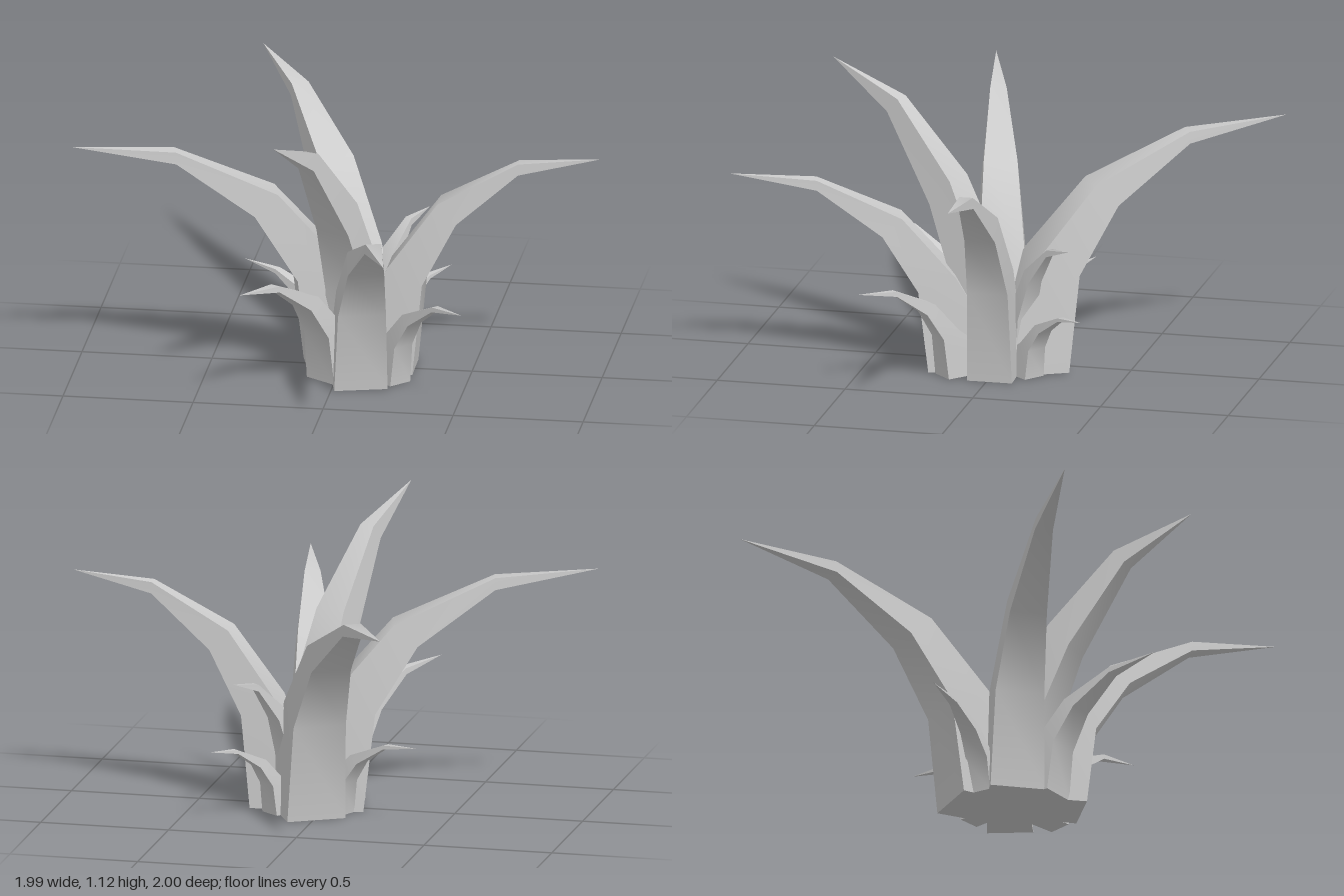
import * as THREE from 'three';

const CENTRE = new THREE.Vector3(0.06, 0, -0.01);
const material = new THREE.MeshStandardMaterial({ color: 0xcccccc });

// Leaf profiles: [reach, height] as fractions of the way from foot to tip
const ARCHED = {
  outer: [[0, 0], [0.05, 0.41], [0.23, 0.69], [0.56, 0.92], [1, 1]],
  inner: [[-0.14, 0.48], [0.13, 0.78], [0.56, 0.97]],
};
const UPRIGHT = {
  outer: [[0, 0], [0.06, 0.31], [0.24, 0.56], [0.58, 0.85], [1, 1]],
  inner: [[-0.15, 0.36], [0.1, 0.65], [0.51, 0.9]],
};
const TAPER = [1, 0.9, 0.68, 0.33, 0];
const INNER_WIDTH = 0.9;

// A curved, tapering leaf: broad outer and inner faces joined by flat sides
function leaf(name, [tx, ty, tz], [fx, fz], halfWidth, profile = ARCHED) {
  const foot = new THREE.Vector3(fx, 0, fz);
  const dir = new THREE.Vector3(tx, 0, tz).sub(foot);
  const reach = dir.length();
  dir.normalize();
  const side = new THREE.Vector3(dir.z, 0, -dir.x);
  const depth = foot.distanceTo(CENTRE) + 0.04;
  const point = (r, y, s) =>
    foot.clone().addScaledVector(dir, r).addScaledVector(side, s).setY(y);
  const place = ([f, h]) => [f * reach, h * ty];

  // Four corners for each cross-section
  const sections = profile.outer.map((o, i) => {
    const [ro, yo] = place(o);
    let [ri, yi] = [-depth, 0];
    if (i === 4) [ri, yi] = [ro, yo];
    else if (i > 0) [ri, yi] = place(profile.inner[i - 1]);
    const w = halfWidth * TAPER[i], v = w * INNER_WIDTH;
    return [point(ro, yo, -w), point(ro, yo, w), point(ri, yi, v), point(ri, yi, -v)];
  });

  // Each face is its own strip: smooth along the leaf, sharp at its edges
  const positions = [], index = [];
  for (let k = 0; k < 4; k++) {
    const start = positions.length / 3;
    sections.forEach((s, i) => {
      positions.push(...s[k].toArray(), ...s[(k + 1) % 4].toArray());
      if (i === 0) return;
      const a = start + (i - 1) * 2;
      index.push(a, a + 1, a + 2);
      if (i < 4) index.push(a + 1, a + 3, a + 2);
    });
  }
  // Underside
  const base = positions.length / 3;
  sections[0].forEach((p) => positions.push(...p.toArray()));
  index.push(base, base + 2, base + 1, base, base + 3, base + 2);

  const geometry = new THREE.BufferGeometry();
  geometry.setAttribute('position', new THREE.Float32BufferAttribute(positions, 3));
  geometry.setIndex(index);
  geometry.computeVertexNormals();
  const mesh = new THREE.Mesh(geometry, material);
  mesh.name = name;
  return mesh;
}

export function createModel() {
  const group = new THREE.Group();
  group.name = 'spikyPlant';

  // Long leaves
  group.add(
    leaf('backLeaf', [-0.45, 0.92, -1], [-0.012, -0.222], 0.115),
    leaf('rightLeaf', [-1, 0.925, 0.27], [-0.13, 0.04], 0.105),
    leaf('leftLeaf', [0.99, 0.875, -0.02], [0.28, -0.012], 0.088),
    leaf('frontLeaf', [0.305, 0.765, 1], [0.112, 0.27], 0.102),
    leaf('tallLeaf', [-0.16, 1.115, 0.705], [0.05, 0.11], 0.1, UPRIGHT),
  );

  // Short leaves around the foot
  group.add(
    leaf('shortFrontRightLeaf', [-0.31, 0.47, 0.575], [-0.055, 0.19], 0.07),
    leaf('shortFrontLeftLeaf', [0.525, 0.385, 0.445], [0.25, 0.18], 0.048),
    leaf('shortBackRightLeaf', [-0.415, 0.315, -0.265], [-0.1, -0.11], 0.05),
    leaf('innerBackLeftLeaf', [0.29, 0.54, -0.325], [0.135, -0.115], 0.05),
    leaf('shortBackLeftLeaf', [0.365, 0.285, -0.39], [0.185, -0.165], 0.045),
  );

  // Pointed core that closes the middle of the foot
  const core = new THREE.Mesh(new THREE.ConeGeometry(0.16, 0.3, 8), material);
  core.name = 'core';
  core.position.copy(CENTRE).setY(0.15);
  group.add(core);

  return group;
}
